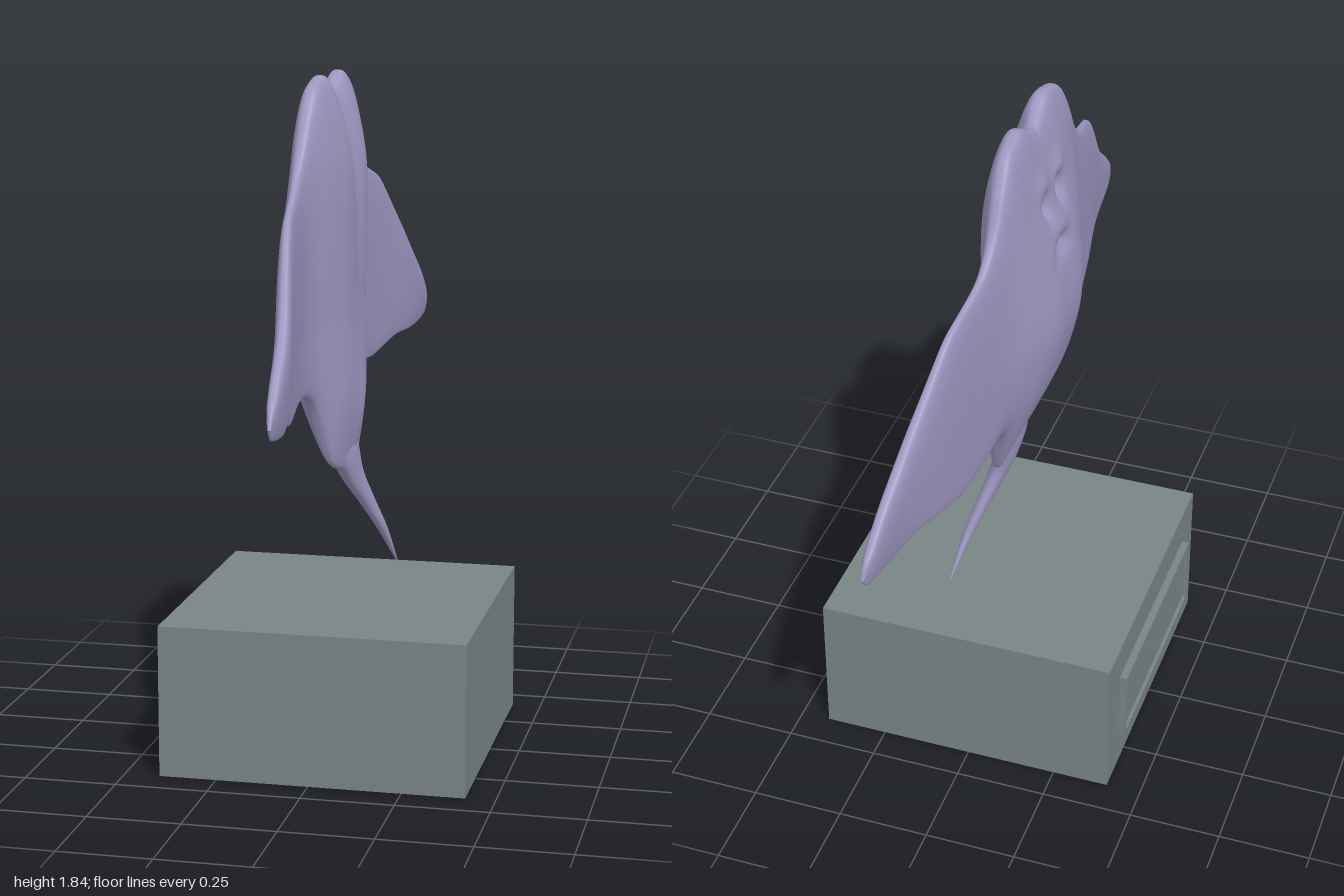
import * as THREE from 'three';

// Smooth cubic interpolation through [key, value] pairs
function table(points) {
  const n = points.length;
  const slope = points.map((p, i) => {
    const a = points[Math.max(0, i - 1)], b = points[Math.min(n - 1, i + 1)];
    return (b[1] - a[1]) / (b[0] - a[0]);
  });
  return (v) => {
    v = Math.min(Math.max(v, points[0][0]), points[n - 1][0]);
    let i = 0;
    while (i < n - 2 && v > points[i + 1][0]) i++;
    const [k0, a] = points[i], [k1, b] = points[i + 1];
    const d = k1 - k0, t = (v - k0) / d, t2 = t * t, t3 = t2 * t;
    return a * (2 * t3 - 3 * t2 + 1) + b * (3 * t2 - 2 * t3)
      + d * (slope[i] * (t3 - 2 * t2 + t) + slope[i + 1] * (t3 - t2));
  };
}

// Skin of closed rings; point(i, j) gives [x, y, z]
function loft(rings, sides, point) {
  const pos = [], idx = [];
  for (let i = 0; i <= rings; i++) {
    for (let j = 0; j < sides; j++) pos.push(...point(i / rings, (j / sides) * Math.PI * 2));
  }
  for (let i = 0; i < rings; i++) {
    for (let j = 0; j < sides; j++) {
      const k = (j + 1) % sides;
      const a = i * sides + j, b = a + sides, c = i * sides + k, d = c + sides;
      idx.push(a, b, c, b, d, c);
    }
  }
  const g = new THREE.BufferGeometry();
  g.setAttribute('position', new THREE.Float32BufferAttribute(pos, 3));
  g.setIndex(idx);
  g.computeVertexNormals();
  return g;
}

// Outline of the ray against distance from its midline
const topEdge = table([[0, 1.79], [0.05, 1.815], [0.1, 1.84], [0.15, 1.832], [0.2, 1.81], [0.25, 1.745],
  [0.3, 1.66], [0.35, 1.6], [0.4, 1.565], [0.5, 1.53], [0.55, 1.51], [0.6, 1.47], [0.7, 1.37],
  [0.8, 1.27], [0.9, 1.19], [0.95, 1.145], [0.985, 1.11], [1, 1.078]]);
const lowEdge = table([[0, 0.77], [0.1, 0.79], [0.15, 0.815], [0.17, 0.86], [0.2, 0.935], [0.23, 0.99],
  [0.27, 1.015], [0.32, 1.015], [0.4, 1.0], [0.5, 0.99], [0.6, 1.005], [0.7, 1.025], [0.8, 1.027],
  [0.9, 1.035], [0.96, 1.045], [0.985, 1.055], [1, 1.078]]);
// Belly and back of the trunk against height
const belly = table([[0.7, 0], [0.8, -0.015], [0.9, -0.06], [1, -0.1], [1.1, -0.13], [1.25, -0.155],
  [1.4, -0.145], [1.6, -0.115], [1.75, -0.1], [1.85, -0.09]]);
const back = table([[0.7, 0.05], [0.8, 0.05], [0.9, 0.062], [1, 0.065], [1.2, 0.052], [1.4, 0.055],
  [1.6, 0.062], [1.72, 0.05], [1.85, 0.025]]);
// Sweep and thickness of the wings, and how far the trunk spreads into them
const wingMid = table([[0, -0.045], [0.3, -0.045], [0.45, -0.03], [0.6, -0.008], [0.8, 0.03], [1, 0.047]]);
const wingHalf = table([[0, 0.025], [0.5, 0.022], [0.8, 0.022], [0.95, 0.015], [1, 0.004]]);
const trunk = table([[0, 1], [0.1, 0.95], [0.2, 0.6], [0.27, 0.25], [0.35, 0.05], [0.45, 0]]);

const bump = (dy, dz, ry, rz) => Math.exp(-((dy / ry) ** 2) - (dz / rz) ** 2);

function bodyPoint(t, angle) {
  const s = t * 2 - 1;
  const z = 0.6 * s + 0.4 * Math.sin(s * Math.PI / 2);
  const d = Math.abs(z);
  const lo = lowEdge(d), hi = topEdge(d);
  const u = (1 + Math.cos(angle)) / 2;
  const y = lo + (hi - lo) * u;
  const w = trunk(d), half = wingHalf(d) * (0.6 + 0.6 * u);
  const front = THREE.MathUtils.lerp(wingMid(d) - half, belly(y), w);
  let rear = THREE.MathUtils.lerp(wingMid(d) + half, back(y), w);
  // groove between the head lobes, ridge above the tail
  rear -= 0.022 * bump(0, z, 1, 0.05) * THREE.MathUtils.smoothstep(y, 1.15, 1.75);
  rear += 0.012 * bump(y - 0.95, z, 0.12, 0.04);
  const side = Math.sin(angle);
  const round = Math.pow(Math.abs(side), 0.65);
  let x = (front + rear) / 2 + Math.sign(side) * round * (rear - front) / 2;
  if (side < 0) {
    // eyes with brows, and a down-turned mouth, on the belly
    x += 0.035 * bump(y - 1.6, d - 0.052, 0.035, 0.02);
    x -= 0.012 * bump(y - 1.66, d - 0.055, 0.03, 0.035);
    x += 0.025 * bump(y - (1.47 - 6 * d * d), d, 0.02, 0.055);
    x -= 0.01 * bump(y - 1.52, d, 0.03, 0.04);
  }
  return [x, y, z];
}

// Tail rings by height: centre and half width in x and z
const tailX = table([[0.455, 0.112], [0.57, 0.085], [0.66, 0.055], [0.75, 0.025], [0.82, 0.012], [0.92, 0]]);
const tailZ = table([[0.455, -0.235], [0.57, -0.153], [0.66, -0.092], [0.75, -0.03], [0.82, 0], [0.92, 0]]);
const tailRx = table([[0.455, 0.002], [0.57, 0.014], [0.66, 0.021], [0.75, 0.029], [0.82, 0.033], [0.92, 0.03]]);
const tailRz = table([[0.455, 0.003], [0.57, 0.023], [0.66, 0.042], [0.75, 0.07], [0.82, 0.1], [0.92, 0.07]]);

function tailPoint(t, angle) {
  const y = 0.92 - 0.465 * t;
  return [tailX(y) + tailRx(y) * Math.cos(angle), y, tailZ(y) - tailRz(y) * Math.sin(angle)];
}

export function createModel() {
  const model = new THREE.Group();
  const skin = new THREE.MeshStandardMaterial({ color: 0x9d96c0 });
  const stone = new THREE.MeshStandardMaterial({ color: 0x788484 });

  const add = (parent, name, geometry, material, x = 0, y = 0, z = 0) => {
    const mesh = new THREE.Mesh(geometry, material);
    mesh.name = name;
    mesh.position.set(x, y, z);
    parent.add(mesh);
  };

  // Ray
  const ray = new THREE.Group();
  ray.name = 'ray';
  add(ray, 'bodyAndWings', loft(220, 160, bodyPoint), skin);
  add(ray, 'tail', loft(40, 28, tailPoint), skin);

  // Pedestal
  const pedestal = new THREE.Group();
  pedestal.name = 'pedestal';
  add(pedestal, 'block', new THREE.BoxGeometry(0.825, 0.413, 0.82), stone, 0.0075, 0.2065, 0);

  // Blank plaque with a raised rim
  add(pedestal, 'plaquePanel', new THREE.BoxGeometry(0.012, 0.2, 0.61), stone, -0.41, 0.208, 0);
  for (const s of [-1, 1]) {
    add(pedestal, 'plaqueRimBar', new THREE.BoxGeometry(0.022, 0.012, 0.62), stone, -0.414, 0.208 + s * 0.097, 0);
    add(pedestal, 'plaqueRimPost', new THREE.BoxGeometry(0.022, 0.182, 0.012), stone, -0.414, 0.208, s * 0.304);
  }

  model.add(ray, pedestal);
  return model;
}
